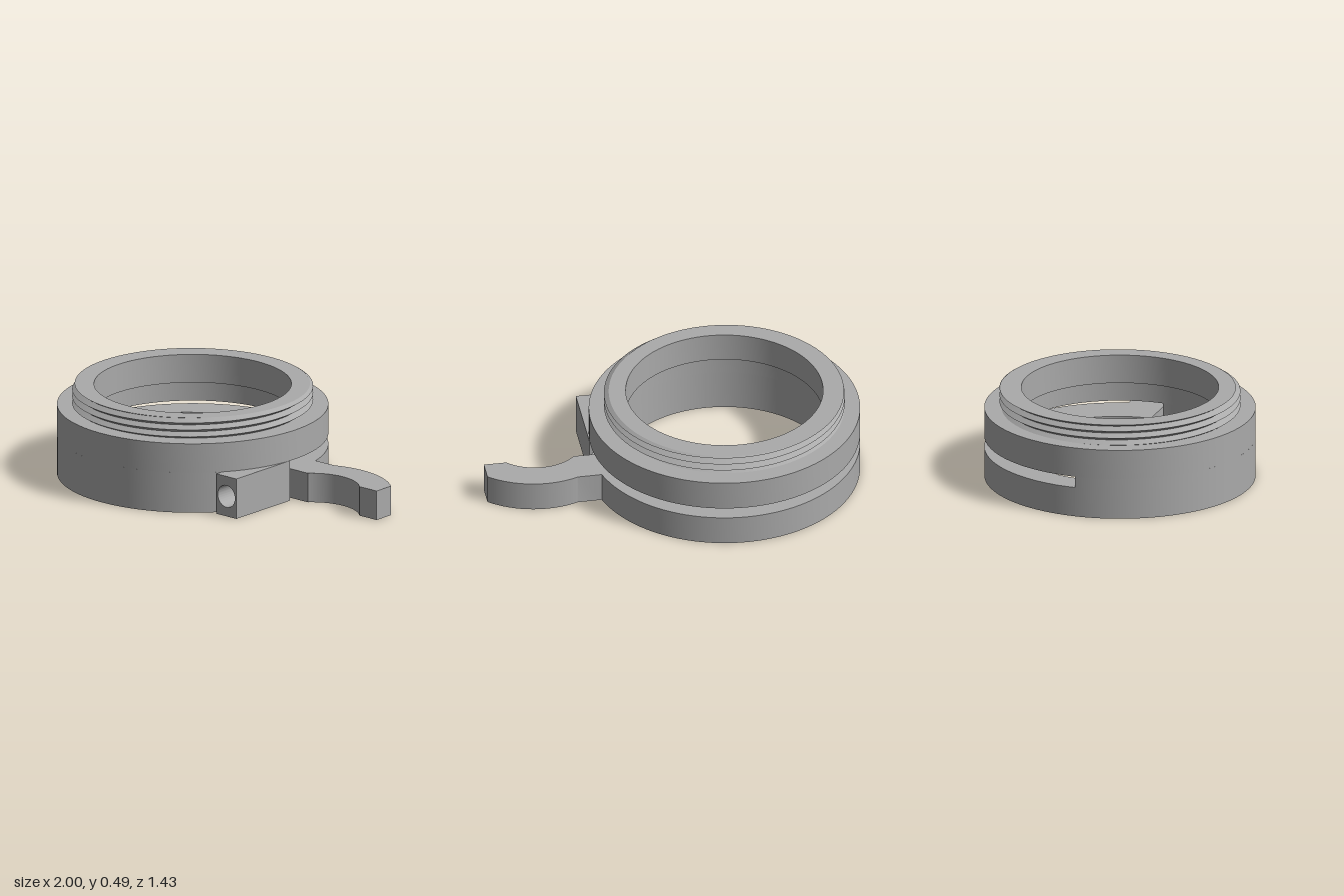
import * as THREE from 'three';
import { toCreasedNormals } from 'three/addons/utils/BufferGeometryUtils.js';

const CX = -0.285;          // ring axis
const R = 0.715, BORE = 0.52, SOCKET = 0.57;
const SLOT_LOW = 0.16, SLOT_TOP = 0.22, STEP = 0.335, SHOULDER = 0.38, TOP = 0.49;

export function createModel() {
  const model = new THREE.Group();
  const grey = new THREE.MeshStandardMaterial({ color: 0xaaaaaa });
  grey.name = 'grey';

  const add = (name, geometry, x = 0, z = 0) => {
    const mesh = new THREE.Mesh(toCreasedNormals(geometry, 0.5), grey);
    mesh.name = name;
    mesh.position.set(x, 0, z);
    model.add(mesh);
  };
  // Plan outline (x, -z) raised from the ground to the given height
  const plate = (shape, height) =>
    new THREE.ExtrudeGeometry(shape, { depth: height, bevelEnabled: false, curveSegments: 72 })
      .rotateX(-Math.PI / 2);

  // Upper ring: stepped bore, underside above the slot, outer wall and shoulder
  const profile = [
    [BORE, TOP], [BORE, STEP], [SOCKET, STEP], [SOCKET, SLOT_TOP],
    [R, SLOT_TOP], [R, SHOULDER], [0.6, SHOULDER],
  ].map(([r, y]) => new THREE.Vector2(r, y));
  add('upperRing', new THREE.LatheGeometry(profile, 144), CX);

  // Screw thread on top, closed by the flat rim
  add('thread', threadGeometry(), CX);

  // Fixed front half of the lower band, trimmed where the clamp block sits
  const cut = 0.575, gap = 0.04;
  const fixed = new THREE.Shape();
  fixed.moveTo(cut, -gap);
  fixed.lineTo(cut, -Math.sqrt(R * R - cut * cut));
  fixed.absarc(0, 0, R, -Math.acos(cut / R), -Math.PI, true);
  fixed.lineTo(-SOCKET, 0);
  fixed.absarc(0, 0, SOCKET, -Math.PI, -Math.asin(gap / SOCKET), false);
  add('fixedBand', plate(fixed, SLOT_TOP), CX);

  // Springy back half, thickening inwards towards the lever
  const spring = new THREE.Shape();
  spring.moveTo(R, 0);
  spring.absarc(0, 0, R, 0, Math.PI, false);
  spring.absarc(-0.0425, 0, 0.5275, Math.PI, 0, true);
  add('springBand', plate(spring, SLOT_LOW), CX);

  // Curved lever
  const lever = new THREE.Shape();
  const outerR = 0.45, outerC = -0.22, innerR = 0.253, innerC = -0.178;
  const angle = (x, r) => Math.acos((x - 0.7) / r);
  lever.moveTo(0.4, 0);
  lever.lineTo(0.52, 0);
  lever.absarc(0.7, innerC, innerR, angle(0.52, innerR), angle(0.88, innerR), true);
  lever.lineTo(1, 0);
  lever.absarc(0.7, outerC, outerR, angle(1, outerR), angle(0.53, outerR), false);
  lever.lineTo(0.4, 0.195);
  add('lever', plate(lever, SLOT_LOW));

  // Clamp block with its screw hole
  const block = new THREE.Shape();
  block.moveTo(0.29, 0);
  block.lineTo(0.43, 0);
  block.lineTo(0.43, SLOT_TOP);
  block.lineTo(0.29, SLOT_TOP);
  const hole = new THREE.Path();
  hole.absarc(0.36, 0.11, 0.06, 0, Math.PI * 2, true);
  block.holes.push(hole);
  add('clampBlock', new THREE.ExtrudeGeometry(block,
    { depth: 0.43, bevelEnabled: false, curveSegments: 32 }), 0, gap);

  return model;
}

// Helical V thread: rows follow the crests and roots, clamped to the collar height
function threadGeometry() {
  const root = 0.605, depth = 0.03, pitch = 0.038, seg = 144;
  const rows = Math.ceil((TOP - SHOULDER) / pitch) * 2 + 3;
  const positions = [], index = [];
  for (let j = 0; j <= rows; j++) {
    for (let i = 0; i <= seg; i++) {
      const turn = i / seg, a = turn * Math.PI * 2;
      let y = SHOULDER + (j / 2 - 1 + turn) * pitch;
      y = Math.min(TOP, Math.max(SHOULDER, y));
      const phase = (y - SHOULDER) / pitch - turn + 2;
      let r = root + depth * (1 - Math.abs(2 * (phase % 1) - 1));
      if (j === rows) { r = BORE; y = TOP; }   // inner edge of the rim
      positions.push(r * Math.cos(a), y, -r * Math.sin(a));
      if (j < rows && i < seg) {
        const p = j * (seg + 1) + i, q = p + seg + 1;
        index.push(p, p + 1, q + 1, p, q + 1, q);
      }
    }
  }
  const geometry = new THREE.BufferGeometry();
  geometry.setAttribute('position', new THREE.Float32BufferAttribute(positions, 3));
  geometry.setIndex(index);
  return geometry;
}
